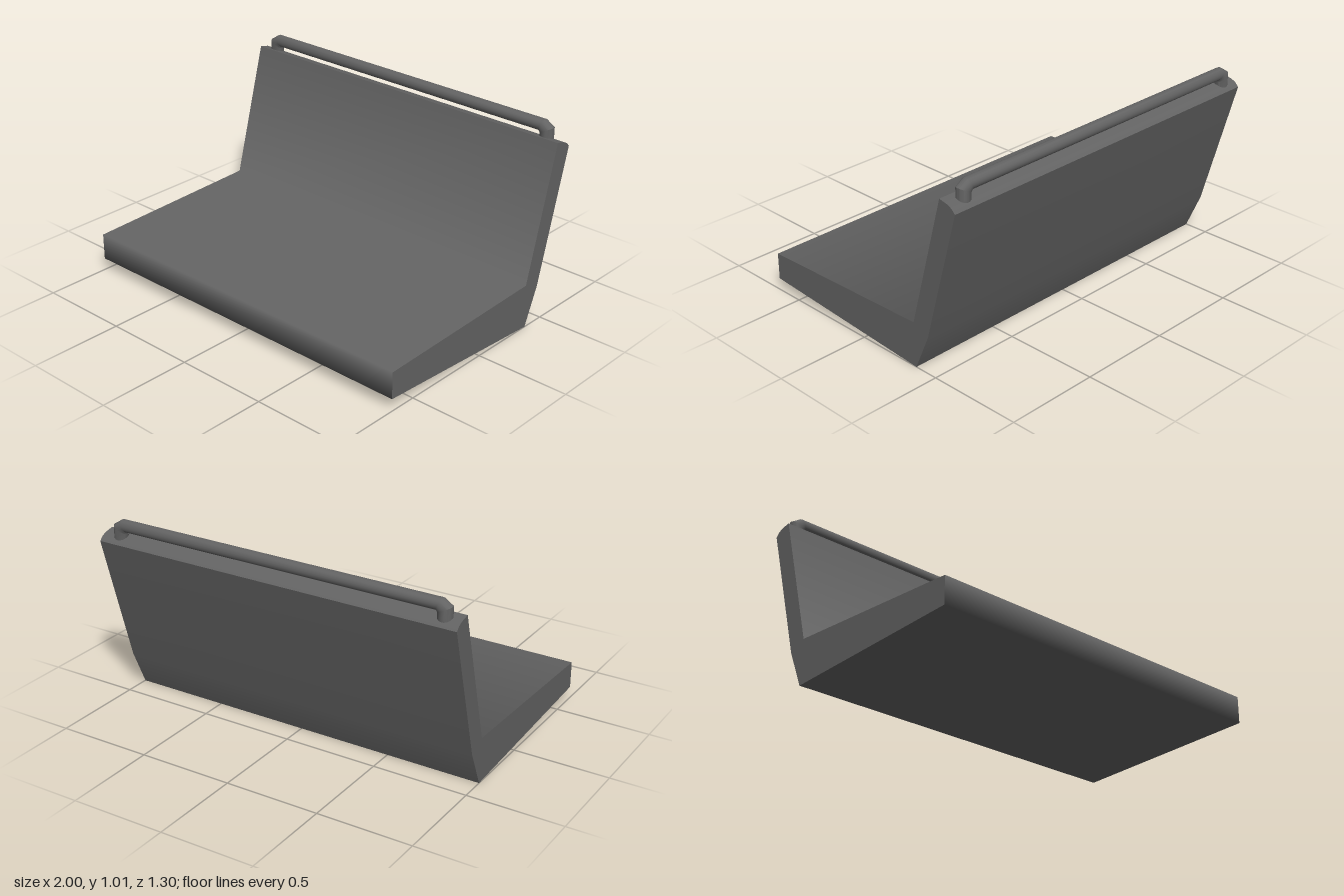
import * as THREE from 'three';
import { toCreasedNormals } from 'three/addons/utils/BufferGeometryUtils.js';

const material = new THREE.MeshStandardMaterial({ color: 0x636363 });

// Side profile as (z, y) runs; shading is smooth within a run, sharp between runs
const runs = {
  seatSurface: [[-0.37, 0], [0.649, 0.065], [0.649, 0.207], [-0.36, 0.237], [-0.552, 0.937]],
  backrestRim: [[-0.552, 0.937], [-0.605, 0.926], [-0.63, 0.913], [-0.649, 0.893]],
  backSurface: [[-0.649, 0.893], [-0.455, 0.195], [-0.37, 0]],
};

function addMesh(group, name, geometry) {
  const mesh = new THREE.Mesh(geometry, material);
  mesh.name = name;
  group.add(mesh);
}

// Sweeps a run across the width, with normals weighted by the neighbouring segment lengths
function sweep(points) {
  const positions = [], normals = [], indices = [];
  points.forEach(([z, y], i) => {
    const [z0, y0] = points[Math.max(i - 1, 0)];
    const [z1, y1] = points[Math.min(i + 1, points.length - 1)];
    const normal = new THREE.Vector3(0, z0 - z1, y1 - y0).normalize();
    for (const x of [1, -1]) {
      positions.push(x, y, z);
      normals.push(...normal);
    }
    const a = 2 * i;
    if (i < points.length - 1) indices.push(a, a + 2, a + 1, a + 1, a + 2, a + 3);
  });
  const geometry = new THREE.BufferGeometry();
  geometry.setAttribute('position', new THREE.Float32BufferAttribute(positions, 3));
  geometry.setAttribute('normal', new THREE.Float32BufferAttribute(normals, 3));
  geometry.setIndex(indices);
  return geometry;
}

// Seat and backrest: swept surfaces closed by a flat panel at each end
function createBench() {
  const bench = new THREE.Group();
  bench.name = 'seatAndBackrest';
  for (const [name, points] of Object.entries(runs)) addMesh(bench, name, sweep(points));
  const outline = Object.values(runs).flatMap((points) => points.slice(0, -1));
  for (const side of [1, -1]) {
    const shape = new THREE.Shape(outline.map(([z, y]) => new THREE.Vector2(-side * z, y)));
    const panel = new THREE.ShapeGeometry(shape).rotateY(side * Math.PI / 2).translate(side, 0, 0);
    addMesh(bench, side > 0 ? 'leftEnd' : 'rightEnd', panel);
  }
  return bench;
}

// Top rail: round bar with mitred corners, lofted through elliptical sections
function createRail() {
  const sides = 20, radius = 0.032;
  // Each section: outer x, outer y, inner x, inner y
  const half = [
    [0.946, 0.87, 0.871, 0.87],
    [0.946, 0.983, 0.871, 0.944],
    [0.895, 1.015, 0.868, 0.952],
  ];
  const mirrored = half.map(([ox, oy, ix, iy]) => [-ox, oy, -ix, iy]).reverse();
  const sections = [...half, ...mirrored];
  const positions = [], indices = [];
  sections.forEach(([ox, oy, ix, iy], i) => {
    for (let j = 0; j < sides; j++) {
      const a = (j / sides) * Math.PI * 2;
      const t = (1 + Math.cos(a)) / 2;
      positions.push(ix + (ox - ix) * t, iy + (oy - iy) * t, radius * Math.sin(a));
      if (i === sections.length - 1) continue;
      const p = i * sides + j, q = i * sides + ((j + 1) % sides);
      indices.push(p, p + sides, q, q, p + sides, q + sides);
    }
  });
  const geometry = new THREE.BufferGeometry();
  geometry.setAttribute('position', new THREE.Float32BufferAttribute(positions, 3));
  geometry.setIndex(indices);
  return toCreasedNormals(geometry, 0.5);
}

export function createModel() {
  const model = new THREE.Group();
  model.name = 'benchSeat';
  model.add(createBench());
  addMesh(model, 'topRail', createRail().translate(-0.007, 0, -0.6));
  return model;
}
